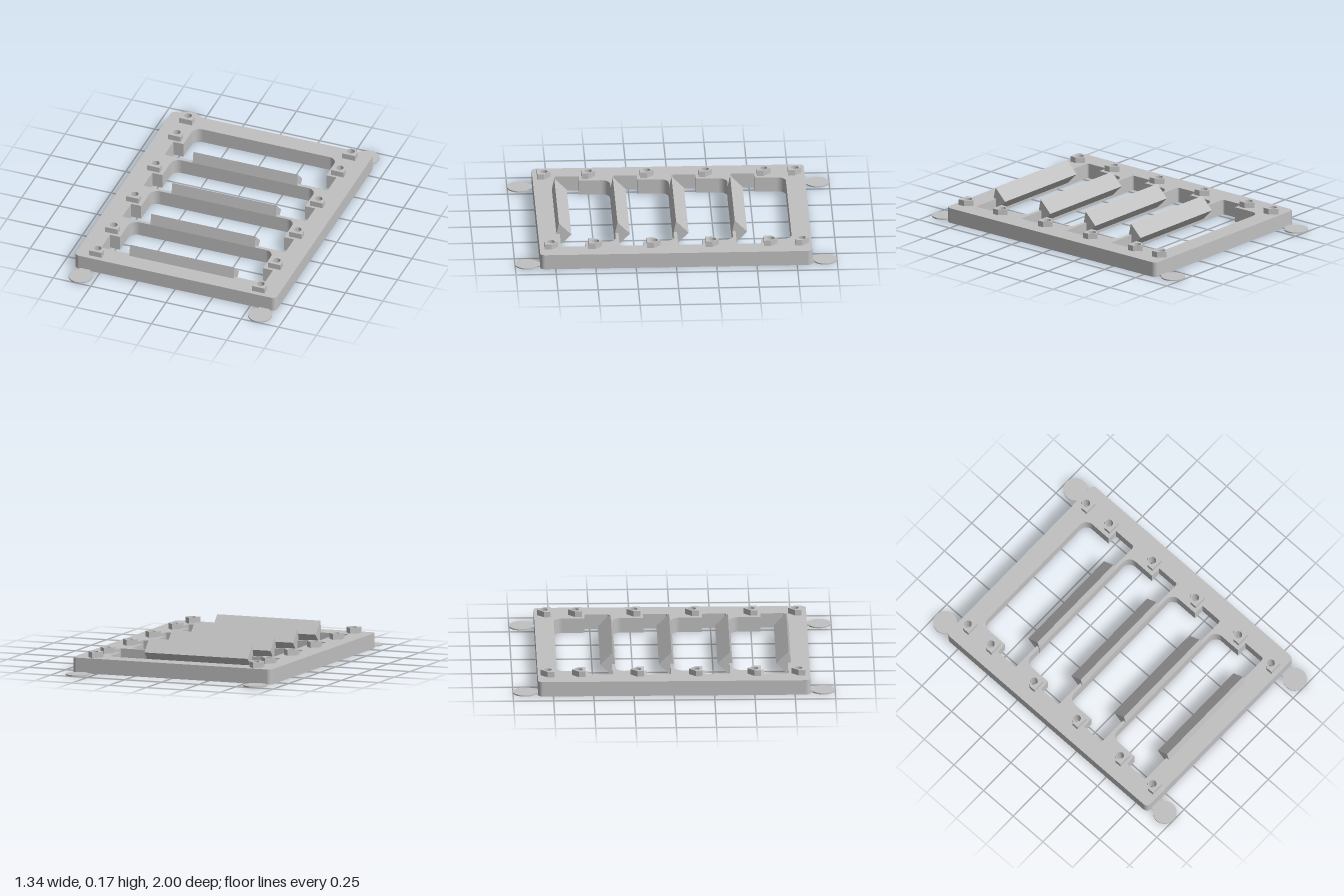
import * as THREE from 'three';

const H = 0.095;        // frame height
const SINK = 0.03;      // countersink depth
const PITCH = 0.364;    // spacing of the slots
const holeX = 0.542;
const holeZ = [-0.784, -0.59, -0.227, 0.136, 0.499, 0.774];

// Extrude a plan shape (x, z) between two heights
function slab(shape, y0, y1) {
  const g = new THREE.ExtrudeGeometry(shape, { depth: y1 - y0, bevelEnabled: false, curveSegments: 10 });
  return g.rotateX(Math.PI / 2).translate(0, y1, 0);
}

function circlePath(x, z, r) {
  const p = new THREE.Path();
  p.absarc(x, z, r, 0, Math.PI * 2, true);
  return p;
}

// Slot with rounded back corners and wider front half
function slotPath(z) {
  const n = 0.475, w = 0.542, step = z + 0.193, end = z + 0.344, R = 0.055, r = 0.012;
  const p = new THREE.Path();
  p.moveTo(-n + R, z);
  p.lineTo(n - R, z);
  p.absarc(n - R, z + R, R, -Math.PI / 2, 0, false);
  p.lineTo(n, step);
  p.lineTo(w, step);
  p.lineTo(w, end - r);
  p.absarc(w - r, end - r, r, 0, Math.PI / 2, false);
  p.lineTo(-w + r, end);
  p.absarc(-w + r, end - r, r, Math.PI / 2, Math.PI, false);
  p.lineTo(-w, step);
  p.lineTo(-n, step);
  p.lineTo(-n, z + R);
  p.absarc(-n + R, z + R, R, Math.PI, Math.PI * 1.5, false);
  return p;
}

// Rounded rectangle with four slots and the screw holes
function frameShape(holeR) {
  const x = 0.67, z = 0.845, r = 0.03, q = Math.PI / 2;
  const s = new THREE.Shape();
  s.absarc(x - r, z - r, r, 0, q);
  s.absarc(-x + r, z - r, r, q, 2 * q);
  s.absarc(-x + r, -z + r, r, 2 * q, 3 * q);
  s.absarc(x - r, -z + r, r, 3 * q, 4 * q);
  s.closePath();
  for (let i = 0; i < 4; i++) s.holes.push(slotPath(-0.725 + i * PITCH));
  for (const hz of holeZ) for (const side of [-1, 1]) s.holes.push(circlePath(side * holeX, hz, holeR));
  return s;
}

export function createModel() {
  const group = new THREE.Group();
  const grey = new THREE.MeshStandardMaterial({ color: 0xc0c0c0 });
  grey.name = 'light grey';
  const greyOpen = grey.clone();
  greyOpen.side = THREE.DoubleSide;

  const add = (name, geometry, material = grey) => {
    const m = new THREE.Mesh(geometry, material);
    m.name = name;
    group.add(m);
    return m;
  };

  // Frame in two layers, the lower one with wider screw holes
  add('frameUpper', slab(frameShape(0.024), SINK, H));
  add('frameLower', slab(frameShape(0.043), 0, SINK));

  // House-shaped bosses and conical countersinks
  const house = new THREE.Shape([
    [-0.042, 0.042], [-0.042, 0], [0, -0.043], [0.042, 0], [0.042, 0.042],
  ].map(([x, z]) => new THREE.Vector2(x, z)));
  house.holes.push(circlePath(0, 0, 0.024));
  const bossGeo = slab(house, H, 0.131);
  const coneGeo = new THREE.LatheGeometry(
    [new THREE.Vector2(0.043, 0), new THREE.Vector2(0.024, SINK)], 20);
  for (const z of holeZ) for (const side of [-1, 1]) {
    add('screwBoss', bossGeo).position.set(side * holeX, 0, z);
    add('countersink', coneGeo, greyOpen).position.set(side * holeX, 0, z);
  }

  // Wedge ridges on the crossbars, undercut towards the back
  const wedge = new THREE.Shape([
    [0, 0.004], [0, 0.095], [-0.015, 0.168], [-0.093, 0.09], [-0.007, 0.004],
  ].map(([z, y]) => new THREE.Vector2(z, y)));
  const wedgeGeo = new THREE.ExtrudeGeometry(wedge, { depth: 0.694, bevelEnabled: false });
  wedgeGeo.rotateY(-Math.PI / 2).translate(0.346, 0, 0);
  for (let i = 0; i < 4; i++) add('wedgeRidge', wedgeGeo).position.z = -0.36 + i * PITCH;

  // Thin corner discs joined to the frame by short necks
  const discGeo = new THREE.CylinderGeometry(0.074, 0.074, 0.008, 40);
  const neckGeo = new THREE.BoxGeometry(0.07, 0.007, 0.06);
  for (const x of [-0.597, 0.597]) for (const s of [-1, 1]) {
    add('cornerDisc', discGeo).position.set(x, 0.004, s * 0.926);
    add('discNeck', neckGeo).position.set(x, 0.0036, s * 0.86);
  }
  return group;
}
